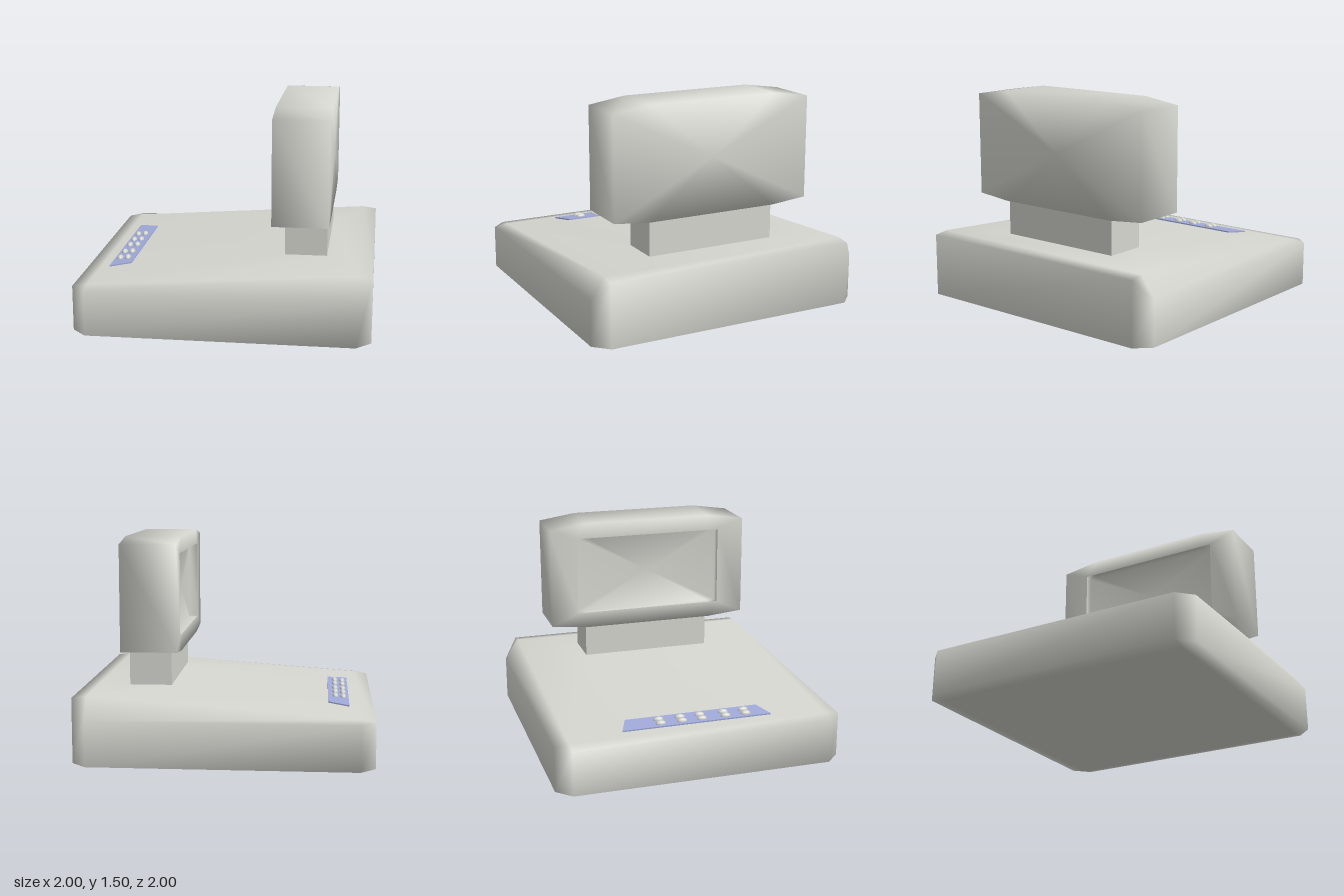
import * as THREE from 'three';
import { mergeVertices } from 'three/addons/utils/BufferGeometryUtils.js';

// Skin a list of closed rings (equal point counts) with smooth normals
function loft(rings) {
  const n = rings[0].length;
  const index = [];
  for (let r = 0; r < rings.length - 1; r++) {
    for (let i = 0; i < n; i++) {
      const j = (i + 1) % n;
      const a = r * n + i, b = r * n + j, c = a + n, d = b + n;
      index.push(a, b, d, a, d, c);
    }
  }
  let geo = new THREE.BufferGeometry();
  geo.setAttribute('position', new THREE.Float32BufferAttribute(rings.flat(2), 3));
  geo.setIndex(index);
  geo = mergeVertices(geo);
  geo.computeVertexNormals();
  return geo;
}

// Rectangle with clipped corners seen from above, y given by height(x, z)
function plan(x0, x1, z, cut, height) {
  return [
    [x1, z - cut], [x1, cut - z], [x1 - cut, -z], [x0 + cut, -z],
    [x0, cut - z], [x0, z - cut], [x0 + cut, z], [x1 - cut, z],
  ].map(([x, pz]) => [x, height(x, pz), pz]);
}

// Eight-sided outline in the z-y plane, at a given x
function outline(x, z, zIn, low, lowMid, high, highMid) {
  return [
    [z, low], [z, high], [zIn, highMid], [-zIn, highMid],
    [-z, high], [-z, low], [-zIn, lowMid], [zIn, lowMid],
  ].map(([pz, y]) => [x, y, pz]);
}

export function createModel() {
  const model = new THREE.Group();
  const casing = new THREE.MeshStandardMaterial({ color: 0xd5d6cf });
  casing.name = 'casing grey';
  const blue = new THREE.MeshStandardMaterial({ color: 0xa0aad8 });
  blue.name = 'panel blue';

  const add = (geo, mat, name, parent = model) => {
    const mesh = new THREE.Mesh(geo, mat);
    mesh.name = name;
    parent.add(mesh);
    return mesh;
  };

  // Wedge-shaped base with clipped corners, rising to the foot of the stem
  add(loft([
    plan(0, 0, 0, 0, () => 0),
    plan(-0.9, 0.9, 0.9, 0, () => 0),
    plan(-1, 1, 1, 0.1, () => 0.02),
    plan(-1, 1, 1, 0.1, (x) => (x > 0.95 ? 0.46 : 0.33)),
    plan(-0.9, 0.9, 0.9, 0, (x) => (x > 0 ? 0.475 : 0.345)),
    plan(0.39, 0.68, 0.47, 0, () => 0.475),
  ]), casing, 'base');

  // Stem
  const stem = add(new THREE.BoxGeometry(0.29, 0.28, 0.94), casing, 'stem');
  stem.position.set(0.535, 0.6, 0);

  // Display housing, open on the side that faces the panel
  const shell = (x) => outline(x, 0.735, 0.47, 0.742, 0.717, 1.46, 1.5);
  const opening = (x) => outline(x, 0.54, 0.47, 0.83, 0.83, 1.39, 1.39);
  const centre = (x) => outline(x, 0, 0, 1.11, 1.11, 1.11, 1.11);
  add(loft([centre(0.7), shell(0.7), shell(0.32), opening(0.32)]), casing, 'displayHousing');
  add(loft([opening(0.32), opening(0.38), centre(0.38)]), casing, 'recessedScreen');

  // Sloped control panel with two rows of buttons
  const panel = new THREE.Group();
  panel.name = 'controlPanel';
  panel.position.set(-0.76, 0.36, 0);
  panel.rotation.z = Math.atan(0.13 / 1.29);
  model.add(panel);

  const shape = new THREE.Shape([
    new THREE.Vector2(-0.073, -0.525), new THREE.Vector2(0.072, -0.47),
    new THREE.Vector2(0.072, 0.47), new THREE.Vector2(-0.073, 0.525),
  ]);
  const plate = new THREE.ExtrudeGeometry(shape, { depth: 0.009, bevelEnabled: false });
  plate.rotateX(-Math.PI / 2);
  add(plate, blue, 'panelPlate', panel);

  const buttonGeo = new THREE.SphereGeometry(1, 12, 8);
  buttonGeo.scale(0.021, 0.022, 0.036);
  for (const z of [-0.25, -0.1, 0.04, 0.21, 0.355]) {
    for (const x of [-0.034, 0.021]) {
      add(buttonGeo, casing, 'button', panel).position.set(x, 0.009, z);
    }
  }

  return model;
}
